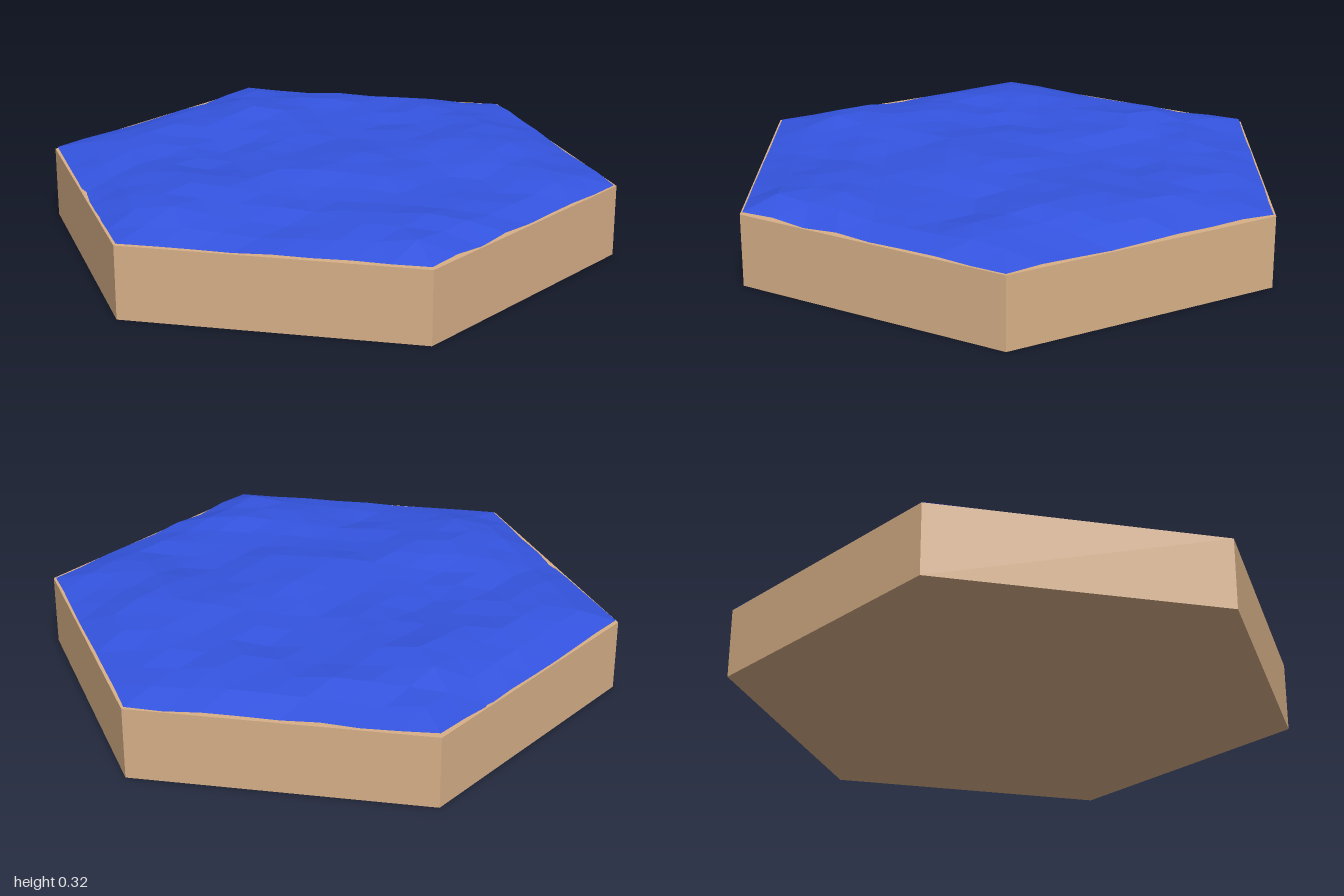
import * as THREE from 'three';

const RINGS = 8, BASE_TOP = 0.25;

// Seeded hash in -1..1 for a lattice point
function jitter(q, r) {
  const s = Math.sin(q * 127.1 + r * 311.7 + 4.2) * 43758.5453;
  return (s - Math.floor(s)) * 2 - 1;
}

// Choppy height that slopes down to the rim
function waterHeight(q, r, x, z) {
  const ring = Math.max(Math.abs(q), Math.abs(r), Math.abs(q + r));
  if (ring === RINGS) return BASE_TOP + 0.004 + 0.007 * jitter(q, r);
  const rise = [0.03, 0.042, 0.047][Math.min(RINGS - ring - 1, 2)];
  const swell = 0.009 * Math.sin(x * 8 + z * 3 + 0.6) + 0.007 * Math.sin(z * 9 - x * 4 + 1.2);
  return BASE_TOP + rise + (swell + 0.009 * jitter(q, r)) * (ring === RINGS - 1 ? 0.8 : 1);
}

// Triangular lattice filling a hexagon
function waterGeometry() {
  const positions = [], index = [], ids = new Map();
  const key = (q, r) => q + ',' + r;
  for (let q = -RINGS; q <= RINGS; q++) {
    for (let r = Math.max(-RINGS, -RINGS - q); r <= Math.min(RINGS, RINGS - q); r++) {
      const x = q * Math.sqrt(0.75) / RINGS, z = (r + q / 2) / RINGS;
      ids.set(key(q, r), positions.length / 3);
      positions.push(x * 0.991, waterHeight(q, r, x, z), z * 0.991);
    }
  }
  const addFace = (...corners) => {
    const face = corners.map(([q, r]) => ids.get(key(q, r)));
    if (!face.includes(undefined)) index.push(...face);
  };
  for (let q = -RINGS; q <= RINGS; q++) {
    for (let r = -RINGS; r <= RINGS; r++) {
      addFace([q, r], [q, r + 1], [q + 1, r]);
      addFace([q + 1, r], [q, r + 1], [q + 1, r + 1]);
    }
  }
  const geometry = new THREE.BufferGeometry();
  geometry.setAttribute('position', new THREE.Float32BufferAttribute(positions, 3));
  geometry.setIndex(index);
  geometry.computeVertexNormals();
  return geometry;
}

export function createModel() {
  const model = new THREE.Group();
  model.name = 'waterTile';

  // Hexagonal sand base with corners on the z axis
  const base = new THREE.Mesh(
    new THREE.CylinderGeometry(1, 1, BASE_TOP, 6),
    new THREE.MeshStandardMaterial({ color: 0xd8b088, flatShading: true })
  );
  base.name = 'sandBase';
  base.position.y = BASE_TOP / 2;
  model.add(base);

  // Rippled low-poly water sheet
  const water = new THREE.Mesh(
    waterGeometry(),
    new THREE.MeshStandardMaterial({ color: 0x3454e0, flatShading: true, side: THREE.DoubleSide })
  );
  water.name = 'waterSurface';
  model.add(water);

  return model;
}
